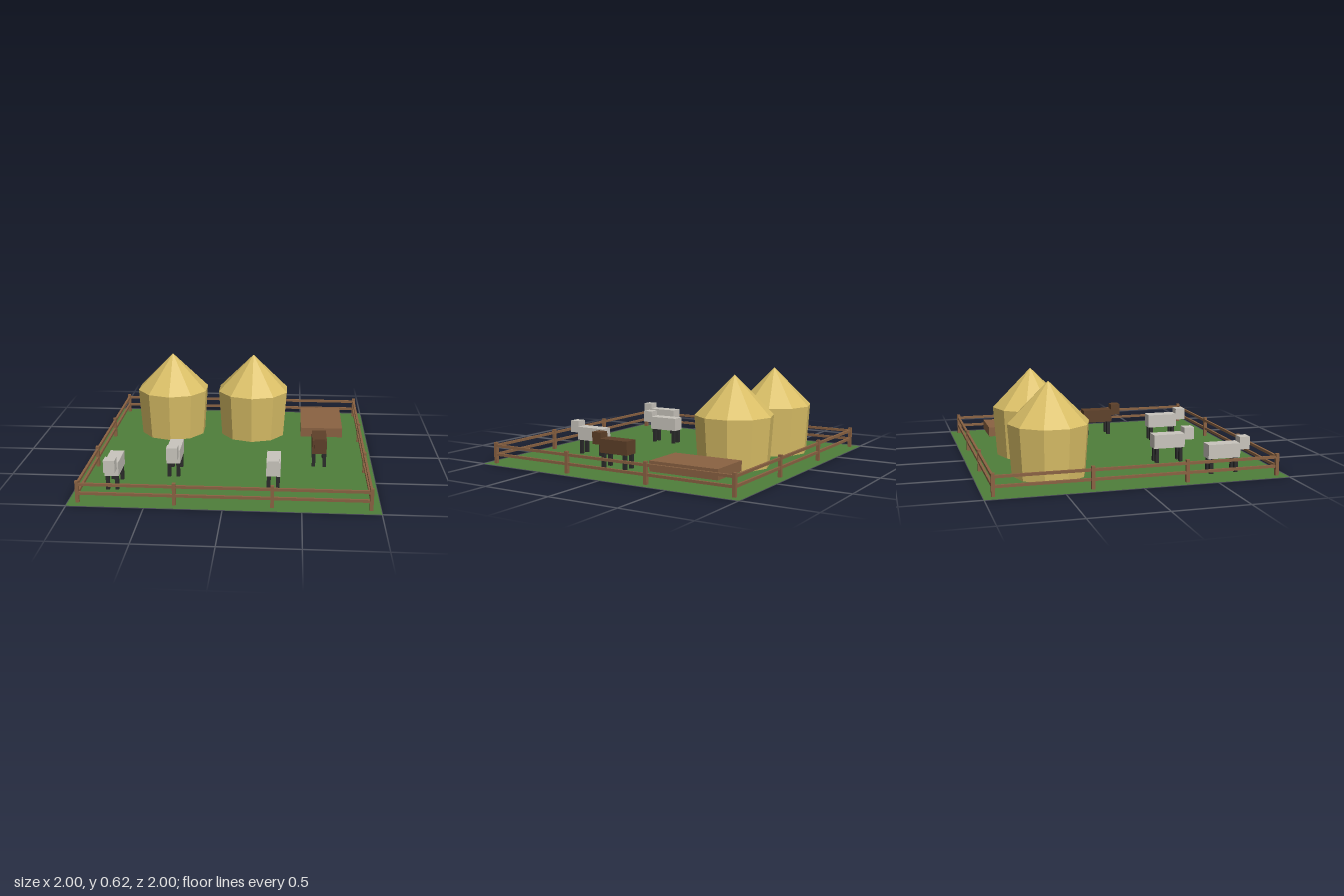
import * as THREE from 'three';

const flat = (name, color) => {
  const m = new THREE.MeshStandardMaterial({ color });
  m.name = name;
  return m;
};

export function createModel() {
  const grass = flat('grass', 0x4f7f3a);
  grass.side = THREE.DoubleSide;
  const straw = flat('straw', 0xd9be66);
  const wood = flat('wood', 0x8a6242);
  const wool = flat('wool', 0xc9c5bd);
  const hide = flat('hide', 0x5e4029);
  const hoof = flat('hoof', 0x2b2b2b);

  const farm = new THREE.Group();
  farm.name = 'farm';

  const group = (name, parent = farm) => {
    const g = new THREE.Group();
    g.name = name;
    parent.add(g);
    return g;
  };
  const add = (name, geometry, material, x, y, z, parent) => {
    const mesh = new THREE.Mesh(geometry, material);
    mesh.name = name;
    mesh.position.set(x, y, z);
    parent.add(mesh);
    return mesh;
  };
  const box = (name, w, h, d, material, x, y, z, parent) =>
    add(name, new THREE.BoxGeometry(w, h, d), material, x, y, z, parent);

  // Ground
  add('ground', new THREE.PlaneGeometry(2, 2).rotateX(-Math.PI / 2), grass, 0, 0, 0, farm);

  // Ten-sided huts: flared walls under a pointed roof
  const facet = (geometry) => {
    const g = geometry.toNonIndexed();
    g.computeVertexNormals();
    return g;
  };
  for (const x of [-0.5, 0.125]) {
    const hut = group('hut');
    hut.position.set(x, 0, -0.5);
    add('wall', facet(new THREE.CylinderGeometry(0.275, 0.25, 0.35, 10, 1, true)), straw, 0, 0.175, 0, hut);
    add('roof', facet(new THREE.ConeGeometry(0.275, 0.275, 10, 1, true)), straw, 0, 0.4875, 0, hut);
  }

  // Raised wooden platform
  box('platform', 0.3125, 0.07, 0.5, wood, 0.655, 0.088, -0.505, farm);

  // Fence: posts at thirds of each side, two rails between the corners
  const fence = group('fence');
  const R = 0.9375;
  for (let side = 0; side < 4; side++) {
    const run = group('fenceSide', fence);
    run.rotation.y = side * Math.PI / 2;
    for (const x of [-R, -R / 3, R / 3]) box('post', 0.023, 0.148, 0.023, wood, x, 0.074, R, run);
    for (const y of [0.0625, 0.124]) box('rail', 2 * R, 0.018, 0.016, wood, 0, y, R, run);
  }

  // Animals: block body, head in front, four thin legs
  const animal = (name, coat, x, z, width, legX) => {
    const g = group(name);
    g.position.set(x, 0, z);
    box('body', width, 0.096, 0.225, coat, 0, 0.15, 0, g);
    box('head', 0.075, 0.085, 0.072, coat, 0, 0.195, 0.148, g);
    for (const sx of [-1, 1])
      for (const sz of [-1, 1])
        box('leg', 0.024, 0.102, 0.024, hoof, sx * legX, 0.051, sz * 0.0875, g);
  };
  animal('sheep', wool, -0.753, 0.625, 0.094, 0.031);
  animal('sheep', wool, -0.377, 0.374, 0.094, 0.031);
  animal('sheep', wool, 0.3125, 0.5625, 0.094, 0.031);
  animal('cow', hide, 0.626, 0.126, 0.102, 0.038);

  return farm;
}
